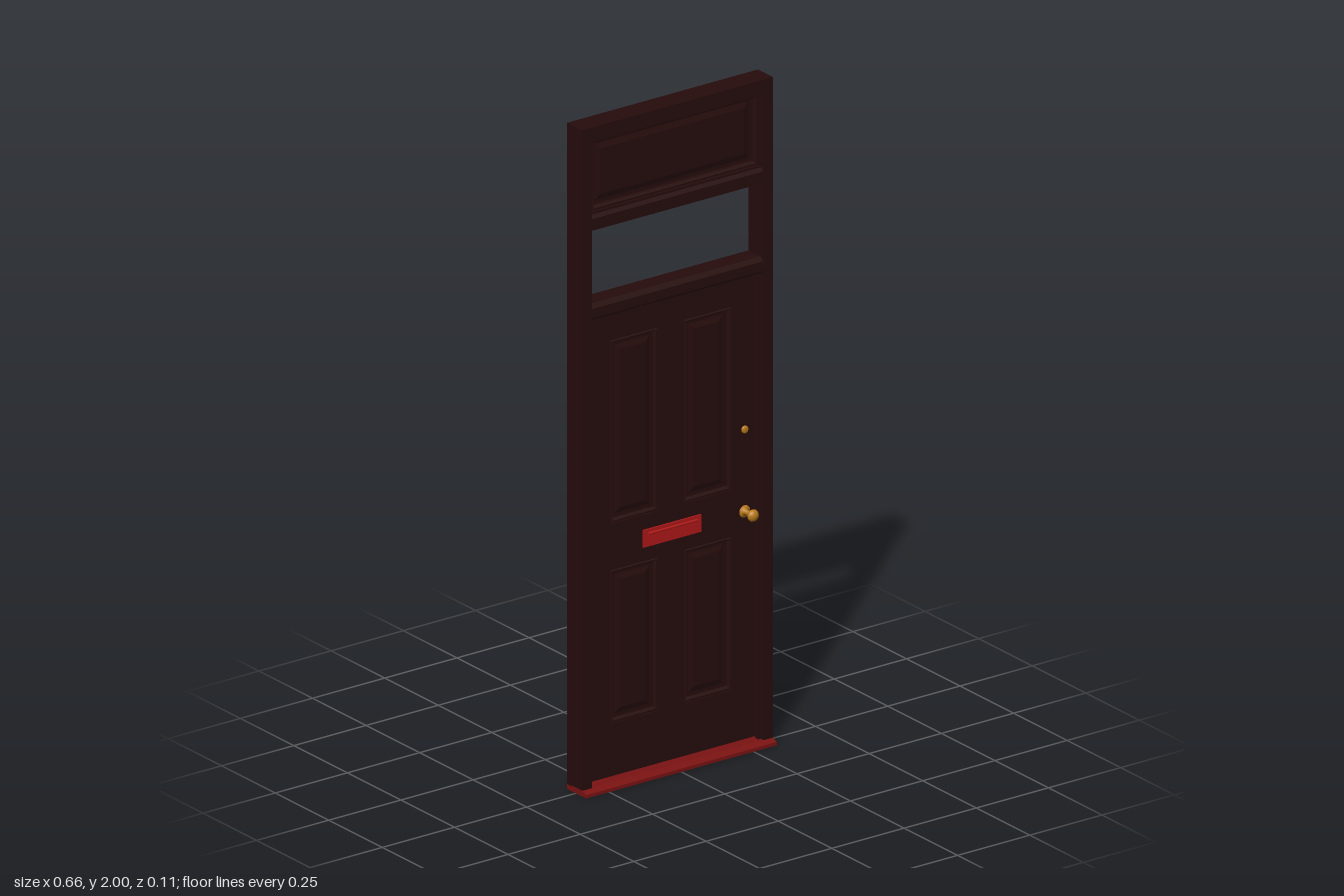
import * as THREE from 'three';

const mat = (color) => new THREE.MeshStandardMaterial({ color });
const wood = mat(0x260c0c), red = mat(0x7a1212), plate = mat(0xb01818), brass = mat(0xb87a1a);

export function createModel() {
  const root = new THREE.Group();
  const add = (name, geo, material, x = 0, y = 0, z = 0) => {
    const m = new THREE.Mesh(geo, material);
    m.name = name;
    m.position.set(x, y, z);
    root.add(m);
    return m;
  };
  // box given by its extents
  const box = (name, x0, x1, y0, y1, z0, z1, material = wood) =>
    add(name, new THREE.BoxGeometry(x1 - x0, y1 - y0, z1 - z0), material,
      (x0 + x1) / 2, (y0 + y1) / 2, (z0 + z1) / 2);
  const rect = (C, x0, x1, y0, y1) => new C([[x0, y0], [x1, y0], [x1, y1], [x0, y1]]
    .map(([x, y]) => new THREE.Vector2(x, y)));
  // profile of [z, y] points swept along x
  const rail = (name, pts, w, material = wood) => {
    const geo = new THREE.ExtrudeGeometry(new THREE.Shape(pts.map(([z, y]) => new THREE.Vector2(-z, y))),
      { depth: w, bevelEnabled: false });
    geo.translate(0, 0, -w / 2).rotateY(Math.PI / 2);
    return add(name, geo, material);
  };
  // sloped moulding around an opening plus a raised and fielded panel inside it
  const panel = (name, x0, x1, y0, y1, z0, z1) => {
    const b = 0.008, mid = (z0 + z1) / 2;
    const ring = rect(THREE.Shape, x0 - 0.001, x1 + 0.001, y0 - 0.001, y1 + 0.001);
    ring.holes.push(rect(THREE.Path, x0 + 0.012, x1 - 0.012, y0 + 0.012, y1 - 0.012));
    add(name + 'Moulding', new THREE.ExtrudeGeometry(ring, {
      depth: z1 - z0 - 2 * b, bevelThickness: b - 0.001, bevelSize: 0.005, bevelOffset: -0.005, bevelSegments: 1,
    }), wood, 0, 0, z0 + b);
    box(name + 'Sheet', x0, x1, y0, y1, mid - 0.005, mid + 0.005);
    const field = rect(THREE.Shape, x0 + 0.022, x1 - 0.022, y0 + 0.022, y1 - 0.022);
    add(name + 'Field', new THREE.ExtrudeGeometry(field, {
      depth: 0.01, bevelThickness: 0.005, bevelSize: 0.016, bevelOffset: -0.016, bevelSegments: 1,
    }), wood, 0, 0, mid - 0.005);
  };

  // frame: jambs, head, transoms and stops
  for (const s of [-1, 1]) {
    const span = (a, b) => (s > 0 ? [a, b] : [-b, -a]);
    box('jamb', ...span(0.297, 0.33), 0.015, 2, -0.04, 0.03);
    box('doorStop', ...span(0.288, 0.298), 0.018, 1.412, 0.002, 0.018);
    box('topPanelBead', ...span(0.288, 0.298), 1.735, 1.96, -0.032, 0.02);
  }
  box('head', -0.297, 0.297, 1.955, 2, -0.04, 0.03);
  rail('upperTransom', [[-0.04, 1.69], [0.03, 1.69], [0.03, 1.725], [0.022, 1.735], [0.022, 1.742], [-0.04, 1.742]], 0.596);
  rail('lowerTransom', [[-0.04, 1.412], [0.024, 1.412], [0.024, 1.42], [0.03, 1.426], [0.03, 1.455], [0.015, 1.465], [-0.04, 1.465]], 0.596);
  rail('sill', [[-0.04, 0], [0.048, 0], [0.048, 0.01], [0.028, 0.018], [-0.04, 0.018]], 0.66, red);

  // panel above the window opening
  panel('topPanel', -0.288, 0.288, 1.742, 1.955, -0.03, 0.018);

  // door leaf, pierced for four panels
  const zb = -0.037, zf = 0.001;
  const openings = [];
  for (const s of [-1, 1]) for (const [y0, y1] of [[0.18, 0.64], [0.78, 1.33]])
    openings.push([s > 0 ? 0.045 : -0.21, s > 0 ? 0.21 : -0.045, y0, y1]);
  const leaf = rect(THREE.Shape, -0.293, 0.293, 0.022, 1.409);
  for (const o of openings) leaf.holes.push(rect(THREE.Path, ...o));
  add('doorLeaf', new THREE.ExtrudeGeometry(leaf, { depth: zf - zb, bevelEnabled: false }), wood, 0, 0, zb);
  for (const o of openings) panel('doorPanel', ...o, zb, zf);

  // letter plate on the front, inner flap on the back
  box('letterPlate', -0.1, 0.1, 0.683, 0.735, zf, 0.006, plate);
  box('letterFlap', -0.085, 0.085, 0.692, 0.72, 0.006, 0.01, plate);
  const hinge = add('letterFlapPivot', new THREE.CylinderGeometry(0.004, 0.004, 0.17, 12), plate, 0, 0.722, 0.007);
  hinge.rotation.z = Math.PI / 2;
  box('innerLetterFlap', -0.1, 0.1, 0.683, 0.735, -0.04, zb, red);

  // turned door knob and keyhole, axis along z
  const turned = (name, pts, material, x, y, z) => {
    const geo = new THREE.LatheGeometry(pts.map(([r, h]) => new THREE.Vector2(r, h)), 24);
    geo.rotateX(Math.PI / 2);
    return add(name, geo, material, x, y, z);
  };
  turned('doorKnob', [[0.018, 0], [0.018, 0.003], [0.008, 0.006], [0.007, 0.026], [0.012, 0.03], [0.017, 0.036],
    [0.018, 0.041], [0.015, 0.047], [0.009, 0.051], [0, 0.053]], brass, 0.253, 0.706, zf);
  turned('lockCylinder', [[0.011, 0], [0.011, 0.004], [0.008, 0.007], [0, 0.007]], brass, 0.253, 0.952, zf);

  // night latch on the back
  box('latchCase', 0.23, 0.293, 0.925, 0.977, -0.045, zb, plate);
  const turn = turned('latchKnob', [[0.007, 0], [0.006, 0.004], [0.009, 0.005], [0.009, 0.01], [0.007, 0.012], [0, 0.012]],
    brass, 0.248, 0.952, -0.044);
  turn.rotation.y = Math.PI;

  // hinges
  for (const y of [0.13, 0.69, 1.25]) {
    box('hingeLeaf', -0.302, -0.288, y - 0.033, y + 0.033, -0.041, -0.036, brass);
    add('hingePin', new THREE.CylinderGeometry(0.003, 0.003, 0.07, 10), brass, -0.295, y, -0.04);
  }
  return root;
}
